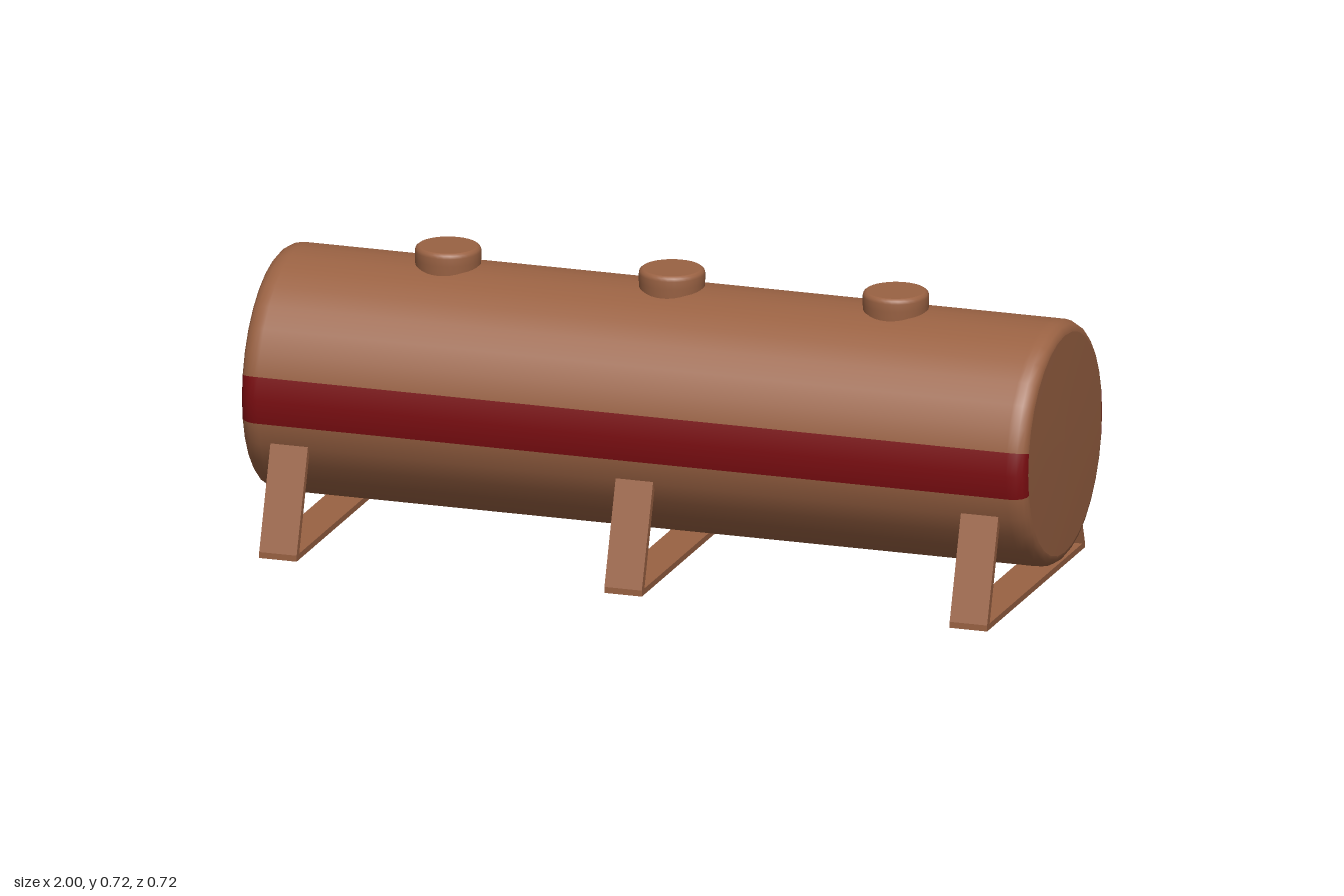
import * as THREE from 'three';

const brown = new THREE.MeshStandardMaterial({ color: 0x9a6243, side: THREE.DoubleSide });
brown.name = 'rust brown';
const red = new THREE.MeshStandardMaterial({ color: 0x7c0d11, side: THREE.DoubleSide });
red.name = 'dark red';

const RADIUS = 0.3, AXIS_Y = 0.373, SIDES = 32;
const STEP = (Math.PI * 2) / SIDES;

// Half profile of the rounded rim: [radius, distance along the axis]
const RIM = [[0.3, 0.95], [0.3, 0.96], [0.297, 0.975], [0.29, 0.988], [0.281, 0.995], [0.272, 0.997]];

const points = (list) => list.map(([r, a]) => new THREE.Vector2(r, a));

function addMesh(parent, name, geometry, material) {
  const mesh = new THREE.Mesh(geometry, material);
  mesh.name = name;
  parent.add(mesh);
  return mesh;
}

// Strip of the tank wall covering a number of sides, axis along x
function wall(firstSide, count) {
  const profile = [...RIM.map(([r, a]) => [r, -a]).reverse(), ...RIM];
  return new THREE.LatheGeometry(points(profile), count, firstSide * STEP, count * STEP)
    .rotateZ(-Math.PI / 2);
}

function createTank() {
  const tank = new THREE.Group();
  tank.name = 'tank';
  tank.position.y = AXIS_Y;

  // Each side: a red band two facets tall, then the brown wall up to the next band
  for (const [side, start] of [['front', -1], ['back', SIDES / 2 - 1]]) {
    addMesh(tank, side + 'Stripe', wall(start, 2), red);
    addMesh(tank, side === 'front' ? 'lowerWall' : 'upperWall', wall(start + 2, SIDES / 2 - 2), brown);
  }

  // Very slightly domed ends
  for (const s of [1, -1]) {
    const cap = new THREE.LatheGeometry(points([[0.272, 0.997], [0.15, 0.9992], [0, 1]]), SIDES)
      .rotateZ(-Math.PI / 2);
    if (s < 0) cap.rotateY(Math.PI);
    addMesh(tank, s > 0 ? 'leftEnd' : 'rightEnd', cap, brown);
  }
  return tank;
}

// Round hatch with a softened top edge
function hatchGeometry() {
  return new THREE.LatheGeometry(points([
    [0.077, 0.64], [0.08, 0.685], [0.08, 0.704], [0.078, 0.711], [0.073, 0.715],
    [0.07, 0.716], [0.07, 0.716], [0, 0.716],
  ]), 32);
}

// Support frame: flat base bar with two splayed legs, outlined from the side
function supportGeometry(width) {
  const half = [[0.362, 0], [0.362, 0.015], [0.278, 0.266], [0.262, 0.262], [0.343, 0.015]];
  const outline = [...half, ...half.map(([z, y]) => [-z, y]).reverse()];
  return new THREE.ExtrudeGeometry(new THREE.Shape(points(outline)), { depth: width, bevelEnabled: false })
    .translate(0, 0, -width / 2)
    .rotateY(Math.PI / 2);
}

export function createModel() {
  const model = new THREE.Group();
  model.name = 'storageTank';
  model.add(createTank());

  const hatch = hatchGeometry();
  const support = supportGeometry(0.095);
  ['right', 'middle', 'left'].forEach((label, i) => {
    addMesh(model, label + 'Hatch', hatch, brown).position.x = (i - 1) * 0.568;
    addMesh(model, label + 'Support', support, brown).position.x = (i - 1) * 0.876;
  });
  return model;
}
